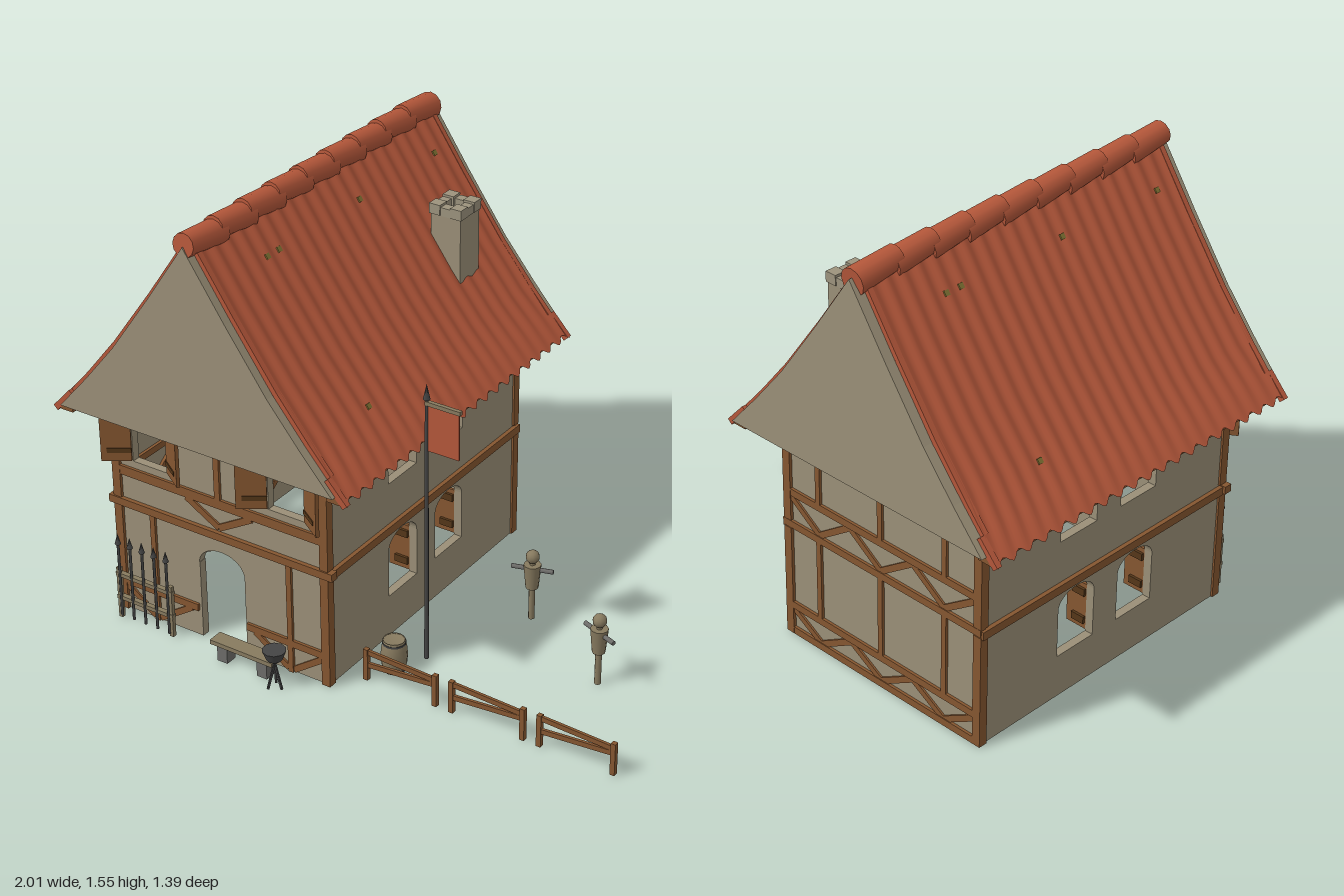
import * as THREE from 'three';

const mat = (name, color, side = THREE.FrontSide) => {
  const m = new THREE.MeshStandardMaterial({ color, side });
  m.name = name;
  return m;
};

export function createModel() {
  const M = {
    plaster: mat('plaster', 0x9a8f77),
    tile: mat('roof tile', 0xb4573a, THREE.DoubleSide),
    timber: mat('timber', 0x855630),
    dark: mat('dark timber', 0x553719),
    iron: mat('iron', 0x454545),
    wood: mat('weathered wood', 0x877a5f),
    stone: mat('stone', 0x9c937d),
    slate: mat('slate', 0x6d6c69),
    moss: mat('moss', 0x7d7032),
  };
  const model = new THREE.Group();
  model.name = 'timberHouse';
  const CX = -0.43;

  // Helpers
  const add = (parent, name, geo, m, x = 0, y = 0, z = 0) => {
    const mesh = new THREE.Mesh(geo, m);
    mesh.name = name;
    mesh.position.set(x, y, z);
    parent.add(mesh);
    return mesh;
  };
  const group = (name, x = 0, y = 0, z = 0, ry = 0, parent = model) => {
    const g = new THREE.Group();
    g.name = name;
    g.position.set(x, y, z);
    g.rotation.y = ry;
    parent.add(g);
    return g;
  };
  const box = (p, name, m, w, h, d, x, y, z) => add(p, name, new THREE.BoxGeometry(w, h, d), m, x, y, z);
  const rod = (p, name, m, r0, r1, h, x, y, z, n = 8) => add(p, name, new THREE.CylinderGeometry(r1, r0, h, n), m, x, y, z);
  // Straight beam between two points of a vertical plane
  const beam = (p, name, m, x1, y1, x2, y2, t = 0.026, d = 0.02, z = 0) => {
    const b = box(p, name, m, Math.hypot(x2 - x1, y2 - y1), t, d, (x1 + x2) / 2, (y1 + y2) / 2, z);
    b.rotation.z = Math.atan2(y2 - y1, x2 - x1);
    return b;
  };
  const arch = (cx, w, y0, y1, rise) => {
    const p = new THREE.Path();
    p.moveTo(cx - w / 2, y0);
    p.lineTo(cx + w / 2, y0);
    p.lineTo(cx + w / 2, y1 - rise);
    p.absellipse(cx, y1 - rise, w / 2, rise, 0, Math.PI, false);
    p.lineTo(cx - w / 2, y0);
    return p;
  };
  const wall = (g, half, holes, door) => {
    const s = new THREE.Shape();
    s.moveTo(-half, 0);
    if (door) {
      s.lineTo(-0.09, 0);
      s.lineTo(-0.09, 0.29);
      s.absellipse(0, 0.29, 0.092, 0.068, Math.PI, 0, true);
      s.lineTo(0.092, 0);
    }
    s.lineTo(half, 0);
    s.lineTo(half, 0.8);
    s.lineTo(-half, 0.8);
    s.holes = holes;
    const geo = new THREE.ExtrudeGeometry(s, { depth: 0.03, bevelEnabled: false, curveSegments: 10 });
    add(g, 'wall', geo, M.plaster, 0, 0, -0.03);
  };
  const zigzag = (g, half, n, y0, y1, z) => {
    for (let i = 0; i < n; i++) {
      const a = -half + (2 * half * i) / n, b = -half + (2 * half * (i + 1)) / n;
      beam(g, 'brace', M.timber, a, i % 2 ? y0 : y1, b, i % 2 ? y1 : y0, 0.022, 0.014, z);
    }
  };

  // Front wall with doorway, two arched windows and open shutters
  const front = group('frontWall', CX, 0, 0.55);
  wall(front, 0.425, [-0.273, 0.273].map((c) => arch(c, 0.15, 0.59, 0.795, 0.06)), true);
  beam(front, 'sillRail', M.timber, -0.42, 0.547, 0.42, 0.547, 0.034);
  beam(front, 'middleRail', M.timber, -0.45, 0.425, 0.45, 0.425, 0.028, 0.03);
  beam(front, 'upperPost', M.timber, 0, 0.56, 0, 0.8, 0.022);
  for (const s of [-1, 1]) {
    beam(front, 'brace', M.timber, s * 0.13, 0.53, 0, 0.455, 0.024, 0.014);
    beam(front, 'lowerPost', M.timber, s * 0.275, 0.0, s * 0.275, 0.41, 0.02);
    beam(front, 'lowRail', M.timber, s * 0.1, 0.112, s * 0.42, 0.112, 0.026);
    beam(front, 'lowBrace', M.timber, s * 0.41, 0.1, s * 0.285, 0.01, 0.022, 0.014);
    beam(front, 'lowBrace', M.timber, s * 0.13, 0.1, s * 0.265, 0.01, 0.022, 0.014);
    for (const e of [-1, 1]) {
      const hinge = group('frontShutter', s * 0.273 + e * 0.075, 0.697, 0.005, e > 0 ? -0.58 : Math.PI + 0.58, front);
      box(hinge, 'shutter', M.timber, 0.1, 0.2, 0.012, 0.05, 0, 0);
      for (const y of [-0.06, 0.06]) box(hinge, 'strap', M.dark, 0.08, 0.016, 0.018, 0.04, y, 0);
    }
  }

  // Back wall with full timber framing
  const back = group('backWall', CX, 0, -0.575, Math.PI);
  wall(back, 0.425, []);
  for (const y of [0.012, 0.112, 0.425, 0.547, 0.785]) beam(back, 'rail', M.timber, -0.43, y, 0.43, y, 0.026);
  for (const x of [-0.275, 0, 0.275]) {
    beam(back, 'post', M.timber, x, 0.11, x, 0.42, 0.02);
    beam(back, 'post', M.timber, x, 0.55, x, 0.79, 0.02);
  }
  zigzag(back, 0.41, 6, 0.02, 0.1, 0);
  zigzag(back, 0.41, 6, 0.44, 0.535, 0);

  // Side walls: four arched windows each, shutters folded inward, framing inside
  for (const s of [-1, 1]) {
    const side = group(s > 0 ? 'leftWall' : 'rightWall', CX + s * 0.425, 0, -0.0125, s * Math.PI / 2);
    const holes = [];
    for (const c of [-0.138, 0.138]) for (const y of [0.155, 0.585]) {
      const top = y > 0.5 ? 0.795 : 0.385;
      holes.push(arch(c, 0.165, y, top, 0.055));
      for (const e of [-1, 1]) {
        box(side, 'innerShutter', M.timber, 0.01, 0.17, 0.08, c + e * 0.0875, y + 0.09, -0.07);
        for (const h of [0.04, 0.145]) box(side, 'hinge', M.dark, 0.012, 0.026, 0.05, c + e * 0.079, y + h, -0.058);
      }
    }
    wall(side, 0.5625, holes);
    beam(side, 'middleRail', M.timber, -0.57, 0.42, 0.57, 0.42, 0.03, 0.03);
    for (const y of [0.112, 0.547]) beam(side, 'innerRail', M.timber, -0.53, y, 0.53, y, 0.024, 0.014, -0.034);
    zigzag(side, 0.53, 8, 0.01, 0.1, -0.034);
    zigzag(side, 0.53, 8, 0.44, 0.535, -0.034);
    // Corner posts
    for (const z of [0.545, -0.57]) {
      for (const [y, h] of [[0.205, 0.41], [0.62, 0.36]]) box(model, 'cornerPost', M.timber, 0.032, h, 0.032, CX + s * 0.416, y, z);
    }
  }

  // Attic block, forming both gables
  const profile = [[0, 1.505], [0.15, 1.285], [0.3, 1.075], [0.42, 0.93], [0.535, 0.8]];
  const attic = new THREE.Shape();
  attic.moveTo(-0.535, 0.8);
  profile.slice().reverse().forEach(([x, y]) => attic.lineTo(x, y));
  profile.slice(1).forEach(([x, y]) => attic.lineTo(-x, y));
  add(model, 'gables', new THREE.ExtrudeGeometry(attic, { depth: 1.37, bevelEnabled: false }), M.plaster, CX, 0, -0.697);

  // Tiled slopes: swept profile with a corrugated surface and flared eave corners
  const slopePts = [[0.0, 1.525], [0.155, 1.3], [0.307, 1.09], [0.425, 0.945], [0.5, 0.86], [0.57, 0.785]];
  const WAVES = 20, SEG = WAVES * 6, rows = slopePts.length - 1;
  const slope = () => {
    const geo = new THREE.PlaneGeometry(1, 1, SEG, rows);
    const p = geo.attributes.position;
    for (let i = 0; i < p.count; i++) {
      const r = Math.floor(i / (SEG + 1)), u = (i % (SEG + 1)) / SEG;
      const w = Math.cos(u * WAVES * Math.PI * 2) * (r === rows ? 0.009 : 0.004);
      const halfZ = 0.638 + (r >= 4 ? 0.012 * (r - 3) : 0);
      p.setXYZ(i, slopePts[r][0] + w * 0.8, slopePts[r][1] + (r === rows ? -w : w * 0.6), -(u * 2 - 1) * halfZ - 0.01);
    }
    geo.computeVertexNormals();
    return geo;
  };
  for (const s of [1, -1]) {
    const g = group(s > 0 ? 'leftRoof' : 'rightRoof', CX, 0, s > 0 ? 0 : -0.02, s > 0 ? 0 : Math.PI);
    add(g, 'tiles', slope(), M.tile);
    box(g, 'eaveBeam', M.timber, 0.05, 0.024, 1.33, 0.525, 0.786, -0.01);
    // Verge strips closing the tile ends
    for (const z of [0.632, -0.652]) for (let i = 0; i < rows; i++) {
      const [a, b] = [slopePts[i], slopePts[i + 1]];
      beam(g, 'verge', M.tile, a[0], a[1] - 0.012, b[0], b[1] - 0.012, 0.022, 0.02, z + (i > 3 ? Math.sign(z) * 0.015 : 0));
    }
    // Moss specks lying on the tiles
    for (const [z, x, y] of [[0.38, 0.1, 1.38], [0.32, 0.1, 1.38], [-0.12, 0.1, 1.38], [-0.56, 0.1, 1.38], [0.33, 0.437, 0.931]]) {
      box(g, 'moss', M.moss, 0.018, 0.005, 0.018, x, y + 0.004, z).rotation.z = -0.96;
    }
  }

  // Overlapping ridge tiles
  for (let i = 0; i < 9; i++) {
    const t = add(model, 'ridgeTile', new THREE.CylinderGeometry(0.04, 0.046, 0.175, 12), M.tile, CX, 1.5, 0.58 - i * 0.147);
    t.rotation.x = Math.PI / 2 - 0.11;
  }

  // Hollow chimney with a stone cap
  const chimney = group('chimney', -0.15, 0, -0.407);
  for (const s of [-1, 1]) {
    box(chimney, 'flueSide', M.plaster, 0.025, 0.28, 0.115, s * 0.045, 1.14, 0);
    box(chimney, 'flueEnd', M.plaster, 0.066, 0.28, 0.025, 0, 1.14, s * 0.045);
    for (const e of [-1, 1]) box(chimney, 'capCorner', M.stone, 0.042, 0.036, 0.042, s * 0.041, 1.296, e * 0.041);
    box(chimney, 'capStone', M.stone, 0.034, 0.03, 0.036, s * 0.043, 1.292, 0);
    box(chimney, 'capStone', M.stone, 0.036, 0.03, 0.034, 0, 1.292, s * 0.043);
  }

  // Flagpole and banner
  const flag = group('flagpole', 0.17, 0, 0.25);
  rod(flag, 'pole', M.iron, 0.008, 0.006, 0.98, 0, 0.49, 0);
  rod(flag, 'tip', M.iron, 0.012, 0, 0.055, 0, 1.0, 0, 6);
  box(flag, 'crossbar', M.wood, 0.13, 0.014, 0.014, 0.062, 0.96, 0);
  box(flag, 'banner', M.tile, 0.115, 0.165, 0.006, 0.064, 0.872, 0);

  // Training dummies
  for (const [x, z, ry] of [[0.335, -0.14, 0.28], [0.71, 0.065, -0.37]]) {
    const d = group('trainingDummy', x, 0, z, ry);
    rod(d, 'post', M.wood, 0.011, 0.011, 0.14, 0, 0.07, 0);
    rod(d, 'body', M.wood, 0.022, 0.03, 0.09, 0, 0.168, 0, 10);
    rod(d, 'neck', M.wood, 0.01, 0.01, 0.03, 0, 0.22, 0);
    add(d, 'head', new THREE.SphereGeometry(0.024, 10, 8), M.wood, 0, 0.243, 0);
    rod(d, 'arms', M.slate, 0.008, 0.008, 0.145, 0, 0.195, 0).rotation.z = Math.PI / 2;
  }

  // Fence in three lengths
  for (const x of [0.065, 0.392, 0.718]) {
    const f = group('fence', x, 0, 0.455);
    for (const px of [0.008, 0.273]) box(f, 'fencePost', M.timber, 0.017, 0.118, 0.017, px, 0.059, 0);
    beam(f, 'topRail', M.timber, 0, 0.107, 0.27, 0.097, 0.018, 0.01);
    beam(f, 'lowerRail', M.timber, 0.005, 0.057, 0.272, 0.08, 0.018, 0.01);
  }

  // Barrel with hoops
  const barrel = group('barrel', 0.12, 0, 0.365);
  const stave = [[0, 0.004], [0.037, 0.004], [0.043, 0.035], [0.045, 0.062], [0.043, 0.09], [0.037, 0.122], [0.034, 0.116], [0, 0.116]];
  add(barrel, 'staves', new THREE.LatheGeometry(stave.map(([x, y]) => new THREE.Vector2(x, y)), 14), M.wood);
  for (const y of [0.014, 0.04, 0.085, 0.111]) rod(barrel, 'hoop', M.iron, 0.045 - Math.abs(y - 0.062) * 0.1, 0.045 - Math.abs(y - 0.062) * 0.1, 0.007, 0, y, 0, 14);

  // Tripod brazier
  const brazier = group('brazier', -0.148, 0, 0.655);
  rod(brazier, 'bowl', M.iron, 0.026, 0.04, 0.036, 0, 0.127, 0, 10);
  for (let i = 0; i < 3; i++) {
    const leg = group('brazierLeg', 0, 0, 0, (i * Math.PI * 2) / 3, brazier);
    beam(leg, 'leg', M.iron, 0.026, 0, -0.006, 0.115, 0.007, 0.007);
  }

  // Bench on stone blocks
  const bench = group('bench', -0.295, 0, 0.615);
  box(bench, 'seat', M.wood, 0.25, 0.016, 0.055, 0, 0.066, 0);
  for (const x of [-0.08, 0.08]) box(bench, 'benchBlock', M.slate, 0.04, 0.058, 0.045, x, 0.029, 0);

  // Spear rack
  const rack = group('spearRack', -0.713, 0, 0.605);
  for (const s of [-1, 1]) box(rack, 'rackPost', M.wood, 0.015, 0.195, 0.015, s * 0.108, 0.0975, 0);
  for (const y of [0.08, 0.17]) box(rack, 'rackRail', M.wood, 0.235, 0.014, 0.018, 0, y, 0);
  for (let i = 0; i < 5; i++) {
    const x = -0.1 + i * 0.05;
    rod(rack, 'spearShaft', M.iron, 0.005, 0.005, 0.285, x, 0.153, 0.008, 6);
    rod(rack, 'spearHead', M.iron, 0.011, 0, 0.04, x, 0.312, 0.008, 6);
  }
  return model;
}
